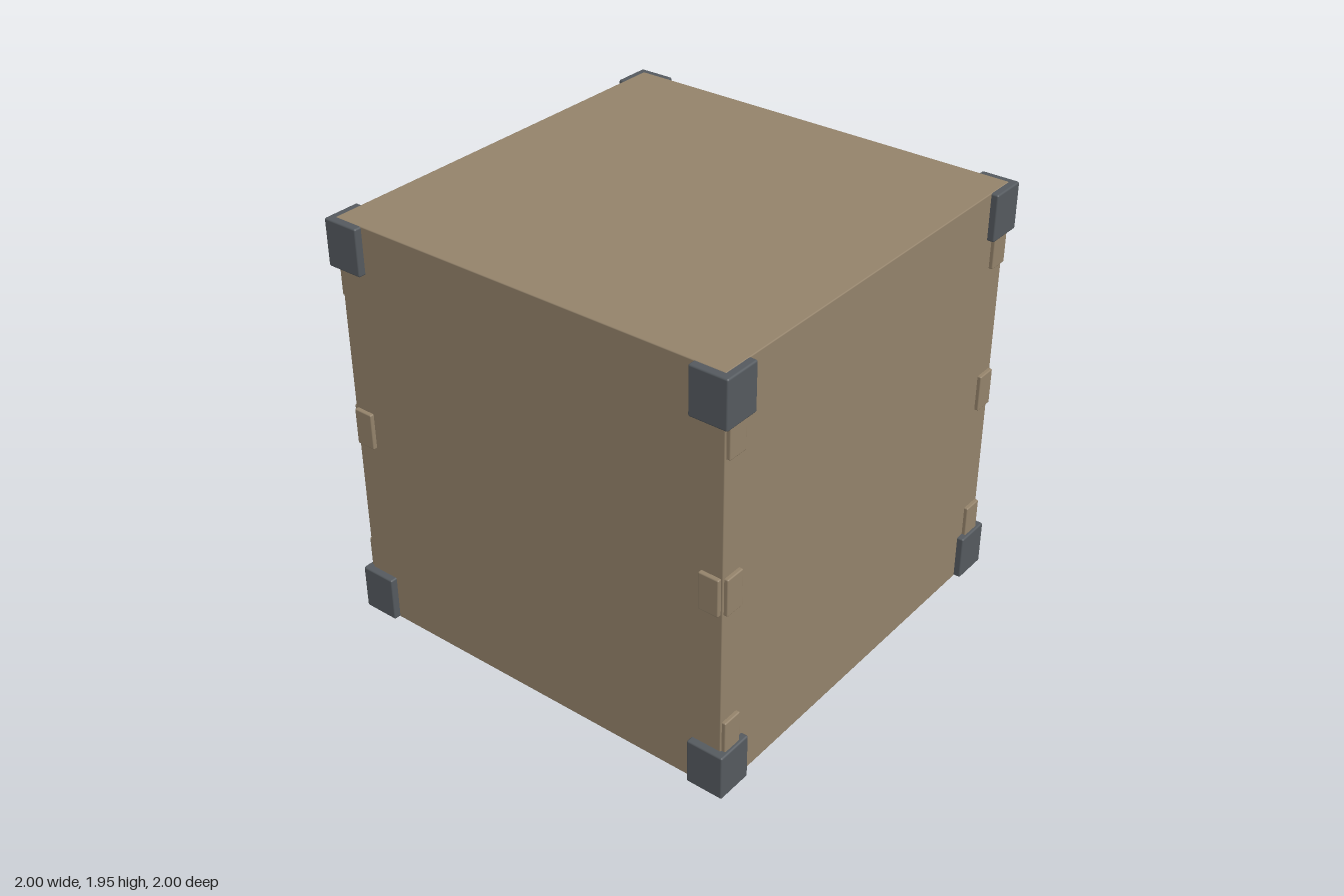
import * as THREE from 'three';
import { RoundedBoxGeometry } from 'three/addons/geometries/RoundedBoxGeometry.js';

const HEIGHT = 1.945;
const HALF = 0.968; // half width of the crate body

const cardboard = new THREE.MeshStandardMaterial({ color: 0x94836b });
const metal = new THREE.MeshStandardMaterial({ color: 0x555a5f });
const plate = new THREE.MeshStandardMaterial({ color: 0x8a8a88 });

// Box with a fine bevel, centred on (x, y, z)
function box(name, material, [w, h, d], [x, y, z], bevel = 0.006) {
  const mesh = new THREE.Mesh(new RoundedBoxGeometry(w, h, d, 2, bevel), material);
  mesh.name = name;
  mesh.position.set(x, y, z);
  return mesh;
}

export function createModel() {
  const group = new THREE.Group();
  group.name = 'crate';
  const mid = HEIGHT / 2;

  group.add(box('body', cardboard, [2 * HALF, HEIGHT, 2 * HALF], [0, mid, 0], 0.005));

  for (const sx of [-1, 1]) {
    for (const sz of [-1, 1]) {
      // Corner guards, a hair inside the top and bottom faces
      for (const y of [0.109, HEIGHT - 0.109]) {
        group.add(box('cornerGuard', metal, [0.175, 0.214, 0.175], [sx * 0.9125, y, sz * 0.9125], 0.008));
      }
      // Clips on the side faces, at three heights
      for (const y of [0.275, mid, HEIGHT - 0.275]) {
        group.add(box('sideClip', cardboard, [0.04, 0.172, 0.096], [sx * 0.966, y, sz * 0.912]));
      }
      // Clips on the front and back faces, at mid height only
      group.add(box('faceClip', cardboard, [0.096, 0.172, 0.04], [sx * 0.912, mid, sz * 0.966]));
    }
  }

  // Blank plate on the back
  group.add(box('backPlate', plate, [0.65, 0.38, 0.026], [0, 1.21, -0.979]));

  return group;
}
